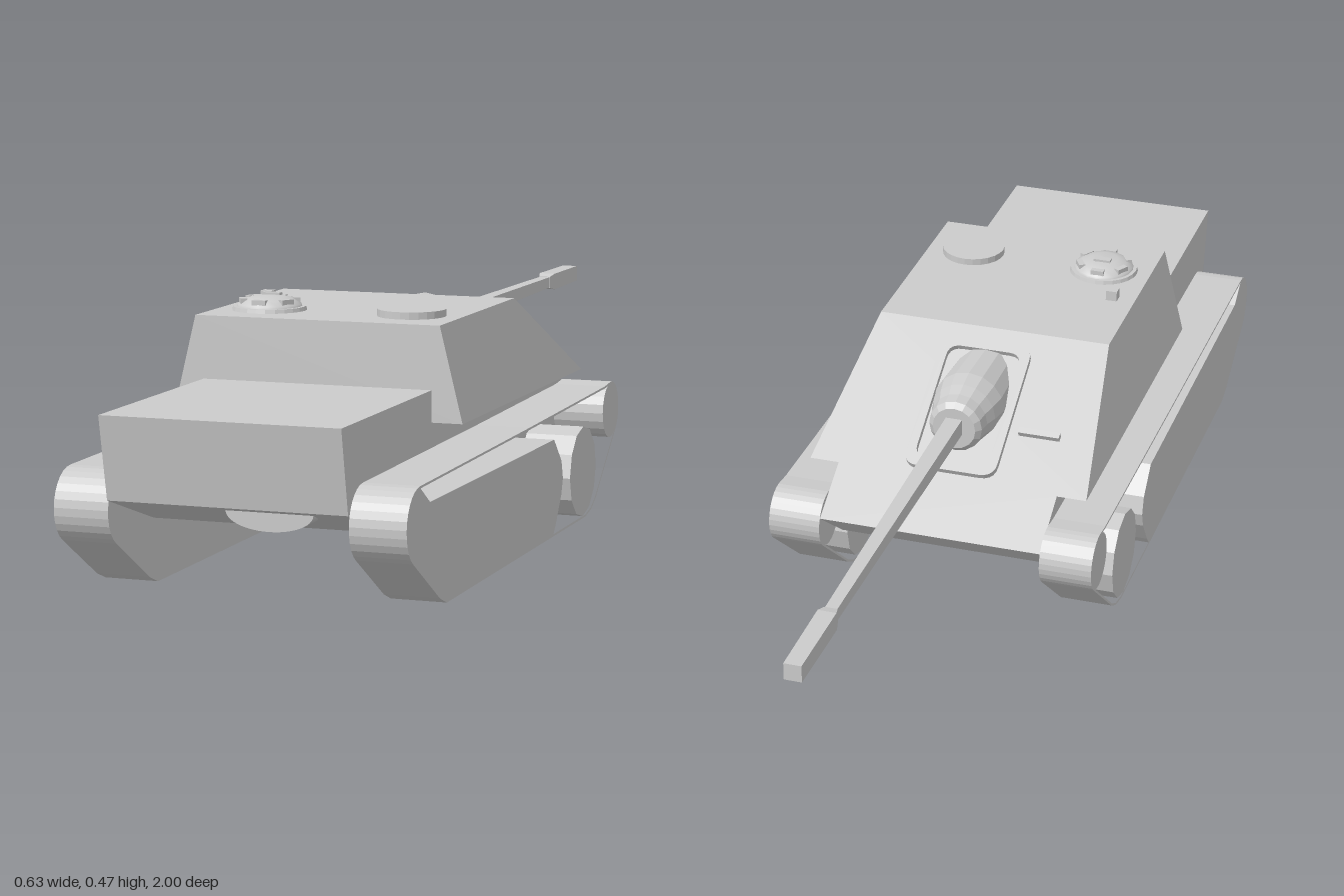
import * as THREE from 'three';
import { ConvexGeometry } from 'three/addons/geometries/ConvexGeometry.js';

const flat = new THREE.MeshStandardMaterial({ color: 0xcccccc, flatShading: true });
const smooth = new THREE.MeshStandardMaterial({ color: 0xcccccc });

const v2 = (p) => new THREE.Vector2(p[0], p[1]);

// Extrudes a (z, y) outline across x, centred on x = 0
function sideExtrude(points, width, hole) {
  const shape = new THREE.Shape(points.map(v2));
  if (hole) shape.holes.push(new THREE.Path(hole.map(v2)));
  const geo = new THREE.ExtrudeGeometry(shape, { depth: width, bevelEnabled: false });
  return geo.translate(0, 0, -width / 2).rotateY(-Math.PI / 2);
}

function arc(cz, cy, r, fromDeg, toDeg, steps) {
  return Array.from({ length: steps + 1 }, (_, i) => {
    const a = THREE.MathUtils.degToRad(fromDeg + ((toDeg - fromDeg) * i) / steps);
    return [cz + r * Math.cos(a), cy + r * Math.sin(a)];
  });
}

// Moves a clockwise outline inwards by t
function inset(points, t) {
  const n = points.length;
  return points.map((p, i) => {
    const a = points[(i + n - 1) % n], b = points[(i + 1) % n];
    const dz = b[0] - a[0], dy = b[1] - a[1], l = Math.hypot(dz, dy);
    return [p[0] + (dy / l) * t, p[1] - (dz / l) * t];
  });
}

function roundedRect(path, w, h, r) {
  const x = w / 2, y = h / 2;
  path.moveTo(-x + r, -y);
  path.lineTo(x - r, -y).quadraticCurveTo(x, -y, x, -y + r);
  path.lineTo(x, y - r).quadraticCurveTo(x, y, x - r, y);
  path.lineTo(-x + r, y).quadraticCurveTo(-x, y, -x, y - r);
  path.lineTo(-x, -y + r).quadraticCurveTo(-x, -y, -x + r, -y);
  return path;
}

export function createModel() {
  const model = new THREE.Group();
  const add = (name, geo, x = 0, y = 0, z = 0, mat = flat, parent = model) => {
    const mesh = new THREE.Mesh(geo, mat);
    mesh.name = name;
    mesh.position.set(x, y, z);
    parent.add(mesh);
    return mesh;
  };

  // Hull with engine deck
  add('hull', sideExtrude([
    [1.0, 0.327], [0.97, 0.178], [0.78, 0.115], [-0.16, 0.115],
    [-0.28, 0.208], [-0.17, 0.27], [0.5, 0.27], [0.5, 0.327],
  ], 0.43));

  // Casemate with sloped sides and front plate
  const corners = [];
  for (const s of [-1, 1]) {
    corners.push(
      new THREE.Vector3(s * 0.272, 0.27, 0.555), new THREE.Vector3(s * 0.23, 0.441, 0.555),
      new THREE.Vector3(s * 0.23, 0.441, 0.13), new THREE.Vector3(s * 0.272, 0.27, -0.17));
  }
  add('casemate', new ConvexGeometry(corners));

  // Rounded bulge under the rear plate
  const bulge = new THREE.Shape();
  bulge.absellipse(0, 0, 0.078, 0.032, Math.PI, Math.PI * 2, false);
  add('rearBulge', new THREE.ExtrudeGeometry(bulge, { depth: 0.12, bevelEnabled: false, curveSegments: 12 }),
    0.067, 0.17, 0.826);

  // Running gear, one set per side
  const band = [
    ...arc(0.9, 0.155, 0.067, 90, -58, 12),
    [0.8, 0.014], [0.765, 0], [-0.06, 0], [-0.1, 0.008], [-0.13, 0.025],
    ...arc(-0.23, 0.183, 0.056, 230, 90, 12),
    [-0.19, 0.235], [0.3, 0.228],
  ];
  const wheelBlock = [
    ...arc(0.9, 0.155, 0.064, 90, -58, 12),
    [0.8, 0.017], [0.765, 0.003], [0.15, 0.003], [0.135, 0.02], [0.1, 0.07],
    [0.09, 0.1], [0.1, 0.135], [0.148, 0.182], [0.85, 0.187],
  ];
  const disc = (r, sides) => new THREE.CylinderGeometry(r, r, 0.0995, sides).rotateZ(Math.PI / 2);
  for (const [side, s] of [['left', 1], ['right', -1]]) {
    const gear = new THREE.Group();
    gear.name = side + 'RunningGear';
    gear.position.x = s * 0.265;
    model.add(gear);
    add('track', sideExtrude(band, 0.1, inset(band, 0.004)), 0, 0, 0, flat, gear);
    add('roadWheels', sideExtrude(wheelBlock, 0.0995), 0, 0, 0, flat, gear);
    add('frontRoadWheel', disc(0.087, 12), 0, 0.091, -0.043, flat, gear);
    add('driveSprocket', disc(0.054, 20), 0, 0.183, -0.23, flat, gear);
  }

  // Raised frame on the sloped front plate
  const frame = roundedRect(new THREE.Shape(), 0.18, 0.295, 0.03);
  frame.holes.push(roundedRect(new THREE.Path(), 0.145, 0.255, 0.025));
  add('mantletFrame', new THREE.ExtrudeGeometry(frame, { depth: 0.018, bevelEnabled: false, curveSegments: 5 })
    .translate(0, 0, -0.006).rotateX(-2.086), 0, 0.349, -0.03);

  // Domed mantlet and gun, pointing to -z
  const mantlet = [[0, -0.08], [0.066, -0.08], [0.07, 0.03], [0.063, 0.065],
    [0.055, 0.09], [0.052, 0.115], [0.042, 0.125], [0, 0.125]].map(v2);
  add('mantlet', new THREE.LatheGeometry(mantlet, 16).rotateX(-Math.PI / 2), 0, 0.355, 0);
  const tube = (halfBack, halfFront, zBack, zFront) =>
    new THREE.CylinderGeometry(halfFront * Math.SQRT2, halfBack * Math.SQRT2, zBack - zFront, 4)
      .rotateY(Math.PI / 4).rotateX(-Math.PI / 2).translate(0, 0.36, (zBack + zFront) / 2);
  add('barrel', tube(0.016, 0.011, -0.1, -0.83));
  add('muzzleNeck', tube(0.012, 0.017, -0.81, -0.83));
  add('muzzle', tube(0.017, 0.016, -0.83, -1));

  // Vision slit on the front plate
  add('visionSlit', new THREE.BoxGeometry(0.08, 0.016, 0.012).rotateX(-0.52), -0.15, 0.334, -0.065);

  // Commander's cupola with a ring of periscopes
  const cupola = new THREE.Group();
  cupola.name = 'cupola';
  cupola.position.set(-0.135, 0.441, 0.437);
  model.add(cupola);
  add('cupolaBase', new THREE.CylinderGeometry(0.066, 0.068, 0.007, 24), 0, 0.0035, 0, flat, cupola);
  const dome = [[0.06, 0], [0.058, 0.007], [0.045, 0.016], [0.028, 0.021], [0, 0.023]].map(v2);
  add('cupolaDome', new THREE.LatheGeometry(dome, 20), 0, 0.004, 0, smooth, cupola);
  for (let i = 0; i < 6; i++) {
    const a = (i * Math.PI) / 3;
    const scope = add('periscope', new THREE.BoxGeometry(0.026, 0.014, 0.012),
      -Math.sin(a) * 0.048, 0.015, -Math.cos(a) * 0.048, flat, cupola);
    scope.rotation.y = a;
  }
  add('cupolaTop', new THREE.BoxGeometry(0.034, 0.01, 0.014), 0, 0.025, -0.012, flat, cupola);

  // Roof hatch and small sight
  add('roofHatch', new THREE.CylinderGeometry(0.062, 0.062, 0.013, 24), 0.137, 0.4475, 0.437);
  add('roofSight', new THREE.BoxGeometry(0.022, 0.02, 0.022), -0.185, 0.451, 0.32);

  return model;
}
